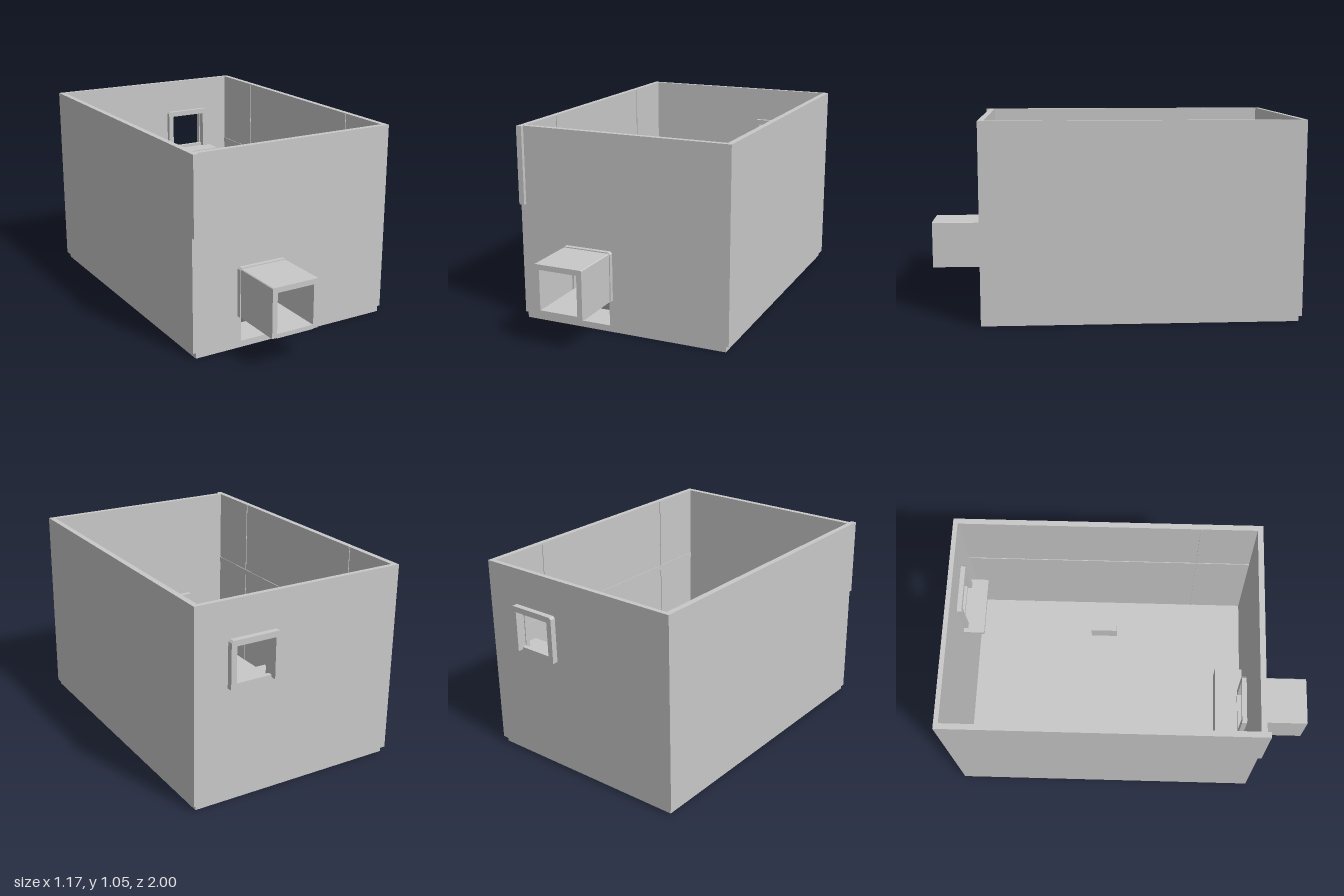
import * as THREE from 'three';

export function createModel() {
  const model = new THREE.Group();
  const grey = new THREE.MeshStandardMaterial({ color: 0xc8c8c8, side: THREE.DoubleSide });
  grey.name = 'plain grey';

  const add = (name, geometry) => {
    const mesh = new THREE.Mesh(geometry, grey);
    mesh.name = name;
    model.add(mesh);
    return mesh;
  };
  // Box given by its minimum and maximum on each axis
  const box = (name, x0, x1, y0, y1, z0, z1) =>
    add(name, new THREE.BoxGeometry(x1 - x0, y1 - y0, z1 - z0)
      .translate((x0 + x1) / 2, (y0 + y1) / 2, (z0 + z1) / 2));
  const outline = (points) => points.map(([x, y]) => new THREE.Vector2(x, y));
  const rect = (x0, x1, y0, y1) => outline([[x0, y0], [x1, y0], [x1, y1], [x0, y1]]);
  // Outline in x and y, with optional holes, extruded from z0 to z1
  const plate = (name, points, z0, z1, holes = []) => {
    const shape = new THREE.Shape(points);
    holes.forEach((h) => shape.holes.push(new THREE.Path(h)));
    return add(name, new THREE.ExtrudeGeometry(shape, { depth: z1 - z0, bevelEnabled: false })
      .translate(0, 0, z0));
  };
  // Upside-down U with small chamfers on its outer top corners
  const arch = (x0, x1, y0, y1, t, c = 0.01) => outline([
    [x0, y0], [x0 + t, y0], [x0 + t, y1 - t], [x1 - t, y1 - t], [x1 - t, y0], [x1, y0],
    [x1, y1 - c], [x1 - c, y1], [x0 + c, y1], [x0, y1 - c],
  ]);

  // Room shell
  box('base', -0.57, 0.57, 0, 0.03, -0.955, 0.69);
  box('floor', -0.585, 0.585, 0.03, 0.034, -0.97, 0.688);
  box('rightWall', -0.585, -0.555, 0.03, 1.05, -0.97, 0.69);
  box('leftWall', 0.555, 0.585, 0.03, 1.05, -0.97, 0.69);
  box('wallEnd', -0.585, -0.555, 0.635, 1.05, 0.69, 0.71);
  plate('frontWall', rect(-0.555, 0.555, 0.03, 1.05), 0.66, 0.69,
    [rect(-0.31, -0.075, 0.034, 0.41)]);
  plate('backWall', rect(-0.555, 0.555, 0.03, 1.05), -0.97, -0.945,
    [rect(0.16, 0.38, 0.625, 0.83)]);

  // Thin battens on the inside of both long walls
  for (const s of [-1, 1]) {
    const near = Math.min(s * 0.555, s * 0.551);
    box('wallBand', near, near + 0.004, 0.61, 0.64, -0.945, 0.66);
    for (const z of [-0.62, 0.36]) {
      box('wallBatten', near, near + 0.004, 0.034, 1.045, z - 0.004, z + 0.004);
    }
  }

  // Entrance tunnel with collars on both sides of the wall
  const tx0 = -0.325, tx1 = -0.06;
  plate('tunnelWalls', arch(tx0, tx1, 0.175, 0.435, 0.028, 0.004), 0.69, 1.0);
  box('tunnelFloor', tx0 + 0.028, tx1 - 0.028, 0.172, 0.195, 0.63, 1.0);
  plate('outerCollar', arch(-0.33, -0.055, 0.175, 0.44, 0.03), 0.69, 0.715);
  plate('innerCollar', arch(-0.33, -0.055, 0.175, 0.44, 0.03), 0.632, 0.66);

  // Window frame, outside and inside
  plate('outerWindowFrame', arch(0.13, 0.405, 0.612, 0.858, 0.03), -1.0, -0.97);
  plate('innerWindowFrame', arch(0.13, 0.405, 0.612, 0.858, 0.03), -0.945, -0.92);

  // Bracket: flat top against a wall, underside sloping away from it
  const bracket = (name, x0, x1, wallZ, farZ, y0, y1) => {
    const shape = new THREE.Shape(outline([[-wallZ, y1], [-farZ, y1], [-farZ, y0]]));
    return add(name, new THREE.ExtrudeGeometry(shape, { depth: x1 - x0, bevelEnabled: false })
      .rotateY(Math.PI / 2).translate(x0, 0, 0));
  };
  bracket('entranceLanding', -0.46, 0.08, 0.66, 0.5, 0.034, 0.171);
  box('windowShelf', 0.105, 0.43, 0.59, 0.61, -0.945, -0.83);

  // Low blocks on the floor
  box('rightBlock', -0.455, -0.3, 0.034, 0.12, -0.09, 0.06);
  box('leftBlock', 0.33, 0.42, 0.034, 0.12, -0.255, -0.1);

  return model;
}
